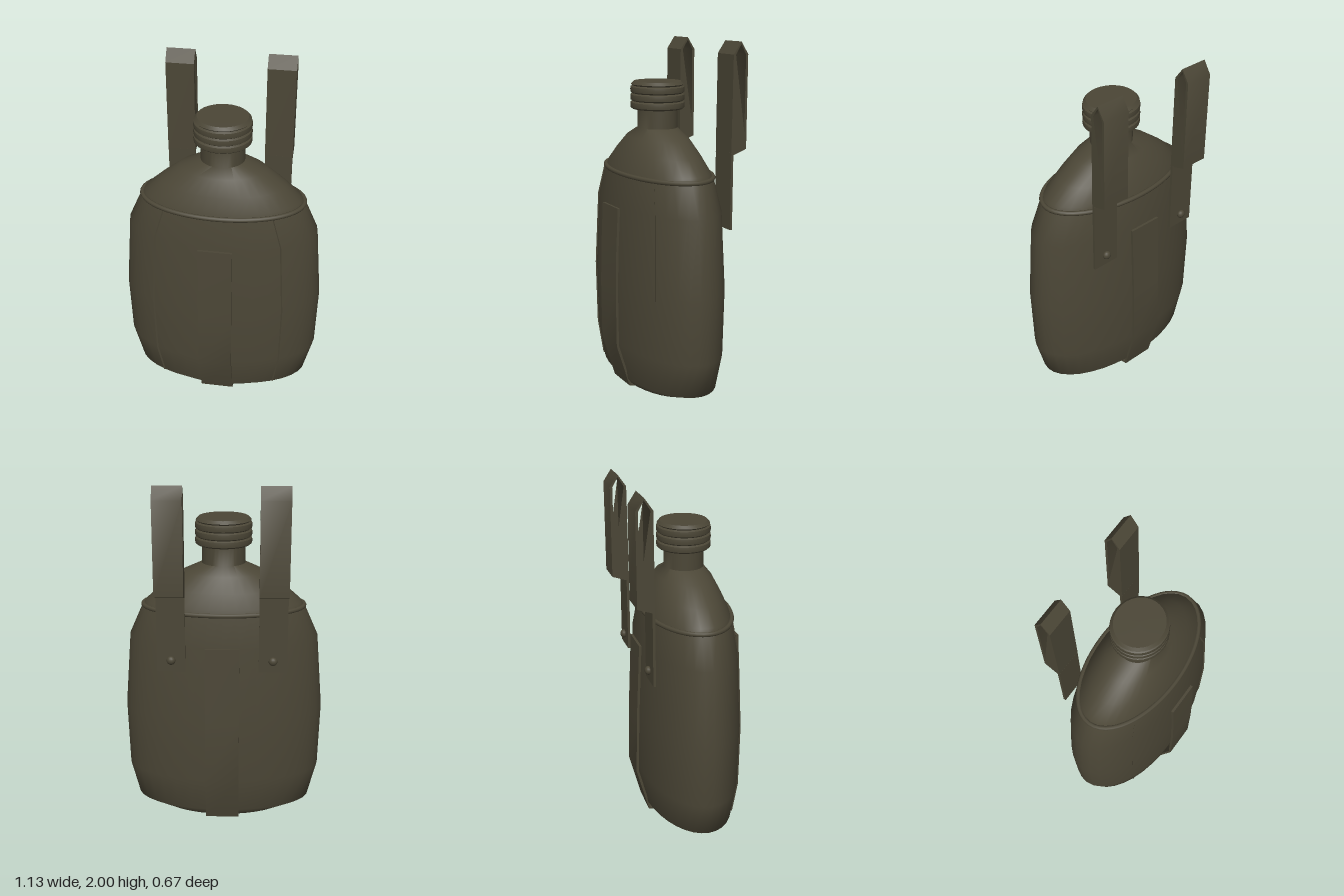
import * as THREE from 'three';
import { toCreasedNormals } from 'three/addons/utils/BufferGeometryUtils.js';

const olive = new THREE.MeshStandardMaterial({ color: 0x4b4636, side: THREE.DoubleSide });
olive.name = 'olive drab';
const CZ = 0.02; // centre of the oval body in z

// Oval loft through [y, radiusX, radiusZ] rows, listed from bottom to top
function loft(rows, seg = 36) {
  const pos = [], idx = [];
  for (const [y, rx, rz] of rows) {
    for (let i = 0; i < seg; i++) {
      const a = (i / seg) * Math.PI * 2;
      pos.push(Math.cos(a) * rx, y, CZ + Math.sin(a) * rz);
    }
  }
  for (let r = 0; r < rows.length - 1; r++) {
    for (let i = 0; i < seg; i++) {
      const j = (i + 1) % seg, a = r * seg, b = a + seg;
      idx.push(a + i, b + i, a + j, a + j, b + i, b + j);
    }
  }
  const g = new THREE.BufferGeometry();
  g.setAttribute('position', new THREE.Float32BufferAttribute(pos, 3));
  g.setIndex(idx);
  g.computeVertexNormals();
  return g;
}

// Flat band of given width following a [z, y] path, with real thickness
function band(path, width, closed = false, t = 0.014) {
  const pts = path.map(([z, y]) => new THREE.Vector2(z, y));
  const n = pts.length;
  const side = (s) => pts.map((p, i) => {
    const prev = pts[closed ? (i + n - 1) % n : Math.max(i - 1, 0)];
    const next = pts[closed ? (i + 1) % n : Math.min(i + 1, n - 1)];
    const d = next.clone().sub(prev).normalize();
    return new THREE.Vector2(p.x - d.y * s, p.y + d.x * s);
  });
  const a = side(t / 2), b = side(-t / 2);
  let shape;
  if (closed) {
    shape = new THREE.Shape(a);
    shape.holes.push(new THREE.Path(b));
  } else {
    shape = new THREE.Shape([...a, ...b.reverse()]);
  }
  const g = new THREE.ExtrudeGeometry(shape, { depth: width, bevelEnabled: false });
  g.translate(0, 0, -width / 2);
  g.rotateY(-Math.PI / 2); // shape x becomes z
  return toCreasedNormals(g, 0.6);
}

export function createModel() {
  const model = new THREE.Group();
  const add = (name, geometry, parent = model) => {
    const m = new THREE.Mesh(geometry, olive);
    m.name = name;
    parent.add(m);
    return m;
  };

  // Cover and its slightly recessed base
  const cover = [
    [0.06, 0.375, 0.21], [0.11, 0.505, 0.25], [0.31, 0.555, 0.275],
    [0.68, 0.565, 0.28], [1.11, 0.53, 0.263], [1.28, 0.455, 0.238],
  ];
  add('cover', loft(cover));
  add('base', loft([[0.075, 0.001, 0.001], [0.075, 0.355, 0.195], [0.06, 0.375, 0.21]].reverse()));

  // Rolled edge around the cover's mouth
  const rimPoints = [];
  for (let i = 0; i < 36; i++) {
    const a = (i / 36) * Math.PI * 2;
    rimPoints.push(new THREE.Vector3(Math.cos(a) * 0.45, 1.285, CZ + Math.sin(a) * 0.235));
  }
  add('rim', new THREE.TubeGeometry(new THREE.CatmullRomCurve3(rimPoints, true), 72, 0.013, 8, true));

  // Shoulder and neck of the bottle
  add('shoulder', toCreasedNormals(loft([
    [1.27, 0.45, 0.233], [1.31, 0.435, 0.223], [1.39, 0.345, 0.19],
    [1.475, 0.235, 0.148], [1.525, 0.12, 0.108], [1.65, 0.12, 0.108],
  ]), 0.8));

  // Ridged screw cap
  const cap = [[0.11, 1.63], [0.145, 1.628]];
  for (const y of [1.65, 1.692, 1.734]) {
    cap.push([0.155, y - 0.014], [0.157, y], [0.155, y + 0.014], [0.145, y + 0.021]);
  }
  cap.push([0.152, 1.762], [0.137, 1.778], [0, 1.78]);
  const capMesh = add('cap', toCreasedNormals(
    new THREE.LatheGeometry(cap.map(([r, y]) => new THREE.Vector2(r, y)), 32), 0.7));
  capMesh.scale.z = 0.94;
  capMesh.position.z = CZ;

  // Raised seams on the front of the cover
  for (const s of [-1, 1]) {
    const pos = [], idx = [];
    cover.slice(1).forEach(([y, rx, rz], r) => {
      for (const k of [0.98, 1.022]) pos.push(s * 0.645 * rx * k, y, CZ + 0.764 * rz * k);
      if (r) idx.push(2 * r - 2, 2 * r - 1, 2 * r, 2 * r, 2 * r - 1, 2 * r + 1);
    });
    const g = new THREE.BufferGeometry();
    g.setAttribute('position', new THREE.Float32BufferAttribute(pos, 3));
    g.setIndex(idx);
    g.computeVertexNormals();
    add(s > 0 ? 'leftSeam' : 'rightSeam', g);
  }

  // Strap running under the cover from front to back
  add('underStrap', band([
    [0.31, 1.11], [0.323, 0.85], [0.328, 0.64], [0.326, 0.32], [0.25, 0.07], [0.02, 0.008],
    [-0.215, 0.065], [-0.284, 0.33], [-0.275, 0.68], [-0.255, 1.11],
  ], 0.188));

  // Hanging straps with a folded loop and a rivet
  for (const s of [-1, 1]) {
    const strap = new THREE.Group();
    strap.name = s > 0 ? 'leftHanger' : 'rightHanger';
    strap.position.x = s * 0.276;
    add('hangerTab', band([[-0.246, 0.98], [-0.246, 1.41]], 0.154), strap);
    add('hangerLoop', band([
      [-0.246, 1.395], [-0.327, 1.425], [-0.327, 1.93], [-0.29, 1.99], [-0.25, 1.93],
    ], 0.156, true), strap);
    const rivet = add('rivet', new THREE.SphereGeometry(0.024, 14, 10), strap);
    rivet.scale.z = 0.8;
    rivet.position.set(0, 1.045, -0.26);
    model.add(strap);
  }

  return model;
}
